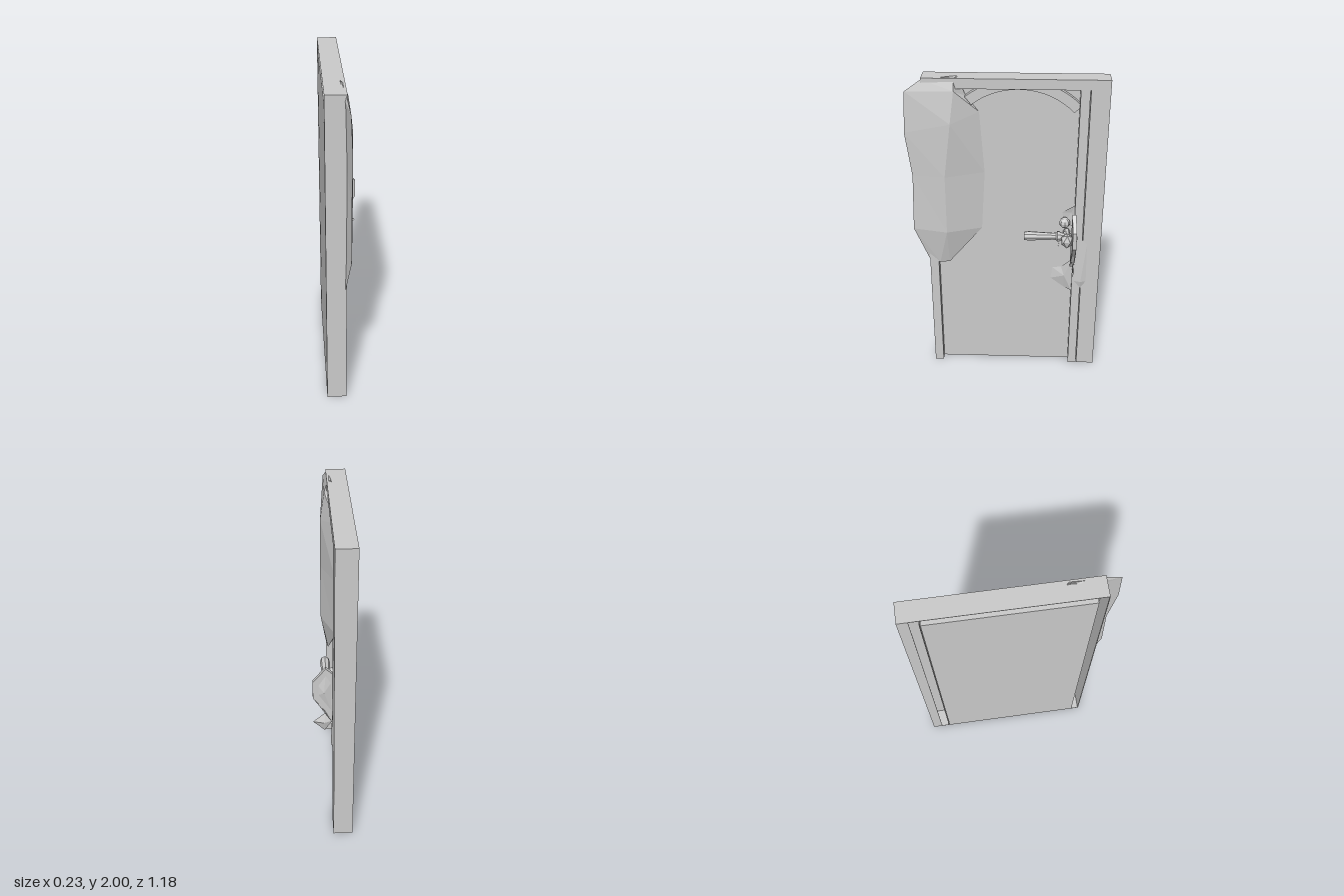
import * as THREE from 'three';

const mat = new THREE.MeshStandardMaterial({ color: 0xcccccc, flatShading: true, side: THREE.DoubleSide });

export function createModel() {
  const root = new THREE.Group();
  const add = (name, geo, parent = root) => {
    const m = new THREE.Mesh(geo, mat);
    m.name = name;
    parent.add(m);
    return m;
  };
  // box given by its min and max corners
  const box = (name, x0, x1, y0, y1, z0, z1) =>
    add(name, new THREE.BoxGeometry(x1 - x0, y1 - y0, z1 - z0)
      .translate((x0 + x1) / 2, (y0 + y1) / 2, (z0 + z1) / 2));
  // skin joining equal cross-section loops of [x, y, z] points, capped at both ends
  const loft = (loops) => {
    const n = loops[0].length, idx = [];
    for (let r = 0; r < loops.length - 1; r++)
      for (let i = 0; i < n; i++) {
        const a = r * n + i, b = r * n + (i + 1) % n;
        idx.push(a, b, a + n, b, b + n, a + n);
      }
    const last = (loops.length - 1) * n;
    for (let i = 1; i < n - 1; i++) idx.push(0, i + 1, i, last, last + i, last + i + 1);
    const g = new THREE.BufferGeometry();
    g.setAttribute('position', new THREE.Float32BufferAttribute(loops.flat(2), 3));
    g.setIndex(idx);
    g.computeVertexNormals();
    return g;
  };
  // faceted shard: outline fanned around a raised centre
  const shard = (name, centre, rim) => {
    const idx = rim.map((_, i) => [0, i + 1, (i + 1) % rim.length + 1]).flat();
    const g = new THREE.BufferGeometry();
    g.setAttribute('position', new THREE.Float32BufferAttribute([centre, ...rim].flat(), 3));
    g.setIndex(idx);
    g.computeVertexNormals();
    return add(name, g);
  };

  // door leaf, recessed behind the frame face
  box('doorPanel', -0.12, -0.05, 0, 1.93, -0.475, 0.43);

  // frame shell, hollow from behind
  const t = 0.004;
  box('hingeJambFace', -t, 0, 0, 1.99, 0.43, 0.485);
  box('hingeJambOuterSide', -0.12, 0, 0, 1.99, 0.485 - t, 0.485);
  box('hingeJambInnerSide', -0.12, 0, 0, 1.93, 0.43, 0.43 + t);
  box('hingeJambFoot', -0.12, 0, 0, t, 0.43, 0.485);
  box('lockJambFace', -t, 0, 0, 1.99, -0.59, -0.478);
  box('lockJambOuterSide', -0.12, 0, 0, 1.99, -0.59, -0.59 + t);
  box('lockJambInnerSide', -0.12, 0, 0, 1.93, -0.482, -0.478);
  box('lockJambBack', -0.12, -0.12 + t, 0, 1.99, -0.59, -0.53);
  box('lockJambFoot', -0.12, 0, 0, t, -0.59, -0.478);
  box('doorStop', -0.05, 0, 0, 1.93, -0.474, -0.42);
  box('headerFace', -t, 0, 1.93, 1.99, -0.59, 0.485);
  box('headerTop', -0.12, 0, 1.99 - t, 1.99, -0.59, 0.485);
  box('headerSoffit', -0.05, 0, 1.93, 1.93 + t, -0.475, 0.43);

  // arched moulding, partly hidden by the header
  const ring = new THREE.Shape();
  const a0 = Math.PI / 2 - 0.66, a1 = Math.PI / 2 + 0.8;
  ring.absarc(0, 0, 0.505, a0, a1, false);
  ring.absarc(0, 0, 0.445, a1, a0, true);
  const arch = add('archMoulding', new THREE.ExtrudeGeometry(ring, { depth: 0.035, bevelEnabled: false, curveSegments: 8 }));
  arch.rotation.y = -Math.PI / 2;
  arch.position.set(-0.015, 1.48, -0.07);

  // faceted slab over the hinge side: outer edge, ridge, inner edge, buried back
  add('hingeSlab', loft([
    [[-0.01, 0.79, 0.483], [0.0, 0.785, 0.42], [-0.01, 0.785, 0.36], [-0.04, 0.79, 0.42]],
    [[0.02, 1.035, 0.573], [0.038, 1.02, 0.366], [-0.048, 1.013, 0.154], [-0.02, 1.03, 0.42]],
    [[0.02, 1.395, 0.56], [0.04, 1.395, 0.366], [-0.05, 1.395, 0.133], [-0.02, 1.395, 0.42]],
    [[0.022, 1.67, 0.594], [0.04, 1.73, 0.324], [-0.045, 1.78, 0.16], [-0.02, 1.7, 0.42]],
    [[0.012, 1.915, 0.58], [0.016, 1.92, 0.3], [-0.045, 1.873, 0.233], [-0.025, 1.92, 0.42]],
    [[-0.005, 1.98, 0.485], [-0.005, 1.985, 0.3], [-0.025, 2.0, 0.282], [-0.03, 1.98, 0.42]],
  ]));

  // lever handle with collar, pointing towards the hinge side
  const handle = new THREE.Group();
  handle.name = 'leverHandle';
  handle.position.set(0.032, 1.005, -0.34);
  root.add(handle);
  const v = (r, y) => new THREE.Vector2(r, y);
  const lever = add('lever', new THREE.LatheGeometry([
    v(0, -0.03), v(0.018, -0.03), v(0.026, 0.0), v(0.033, 0.012), v(0.033, 0.024), v(0.024, 0.032),
    v(0.022, 0.05), v(0.03, 0.2), v(0.026, 0.228), v(0, 0.23)], 8), handle);
  lever.rotation.x = Math.PI / 2;
  const neck = add('leverNeck', new THREE.IcosahedronGeometry(0.04, 0), handle);
  neck.position.set(-0.01, -0.01, -0.03);
  const stem = add('handleStem', new THREE.CylinderGeometry(0.022, 0.026, 0.1, 6), handle);
  stem.rotation.z = Math.PI / 2;
  stem.position.set(-0.02, 0, -0.035);
  const rose = add('handleBoss', new THREE.IcosahedronGeometry(0.035, 0), handle);
  rose.scale.set(0.95, 1.45, 1.1);
  rose.position.set(0.037, -0.01, -0.035);
  const knob = add('thumbKnob', new THREE.SphereGeometry(0.034, 8, 6), handle);
  knob.position.set(-0.035, 0.078, -0.02);
  const knobStem = add('thumbKnobStem', new THREE.CylinderGeometry(0.018, 0.022, 0.05, 6), handle);
  knobStem.rotation.z = Math.PI / 2;
  knobStem.position.set(-0.06, 0.078, -0.02);
  // oval key cover flat on the leaf
  const cover = add('keyCover', new THREE.CylinderGeometry(0.028, 0.028, 0.01, 10), handle);
  cover.rotation.z = Math.PI / 2;
  cover.scale.x = 2.4;
  cover.position.set(-0.08, -0.118, -0.015);

  // torn plate standing out beside the handle, seen edge-on from the door face
  add('lockPlate', loft([-0.012, 0.012].map((d) => [
    [0.0, 0.77, -0.415 + d], [0.05, 0.87, -0.422 + d], [0.115, 0.96, -0.42 + d], [0.115, 1.07, -0.42 + d],
    [0.04, 1.16, -0.415 + d], [-0.03, 1.1, -0.42 + d]])));
  shard('plateRidge', [0.05, 1.0, -0.44], [
    [0.0, 0.84, -0.425], [0.1, 0.97, -0.425], [0.1, 1.07, -0.425], [0.04, 1.13, -0.425], [0.0, 1.08, -0.425]]);
  shard('lowerPlateFlap', [0.05, 0.77, -0.43], [
    [0.0, 0.78, -0.42], [0.045, 0.705, -0.415], [0.115, 0.775, -0.42], [0.04, 0.835, -0.41]]);

  // splintered pieces around the lock
  shard('leafSplinter', [-0.03, 0.68, -0.37], [
    [-0.049, 0.73, -0.295], [-0.049, 0.65, -0.285], [-0.049, 0.585, -0.37], [-0.02, 0.575, -0.42],
    [-0.01, 0.82, -0.42], [-0.045, 0.74, -0.35]]);
  shard('jambSplinter', [0.012, 0.66, -0.475], [
    [0.001, 0.98, -0.462], [0.001, 0.66, -0.435], [0.001, 0.61, -0.475], [0.001, 0.66, -0.51],
    [0.001, 0.93, -0.505]]);
  shard('upperSplinter', [-0.03, 1.14, -0.4], [
    [-0.01, 1.2, -0.42], [-0.049, 1.13, -0.345], [-0.049, 1.06, -0.36], [-0.01, 1.05, -0.42]]);

  return root;
}
